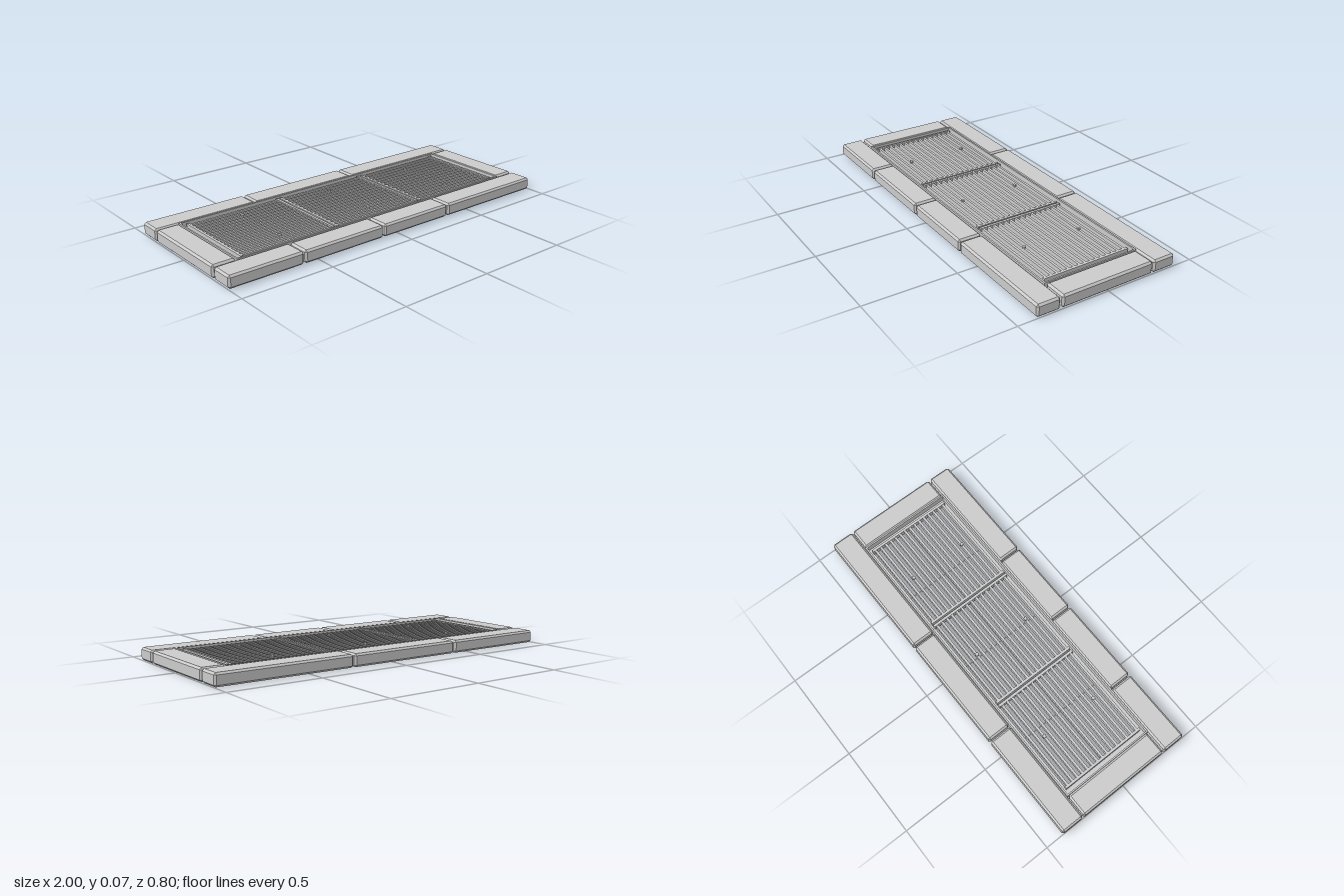
import * as THREE from 'three';
import { ConvexGeometry } from 'three/addons/geometries/ConvexGeometry.js';

const material = new THREE.MeshStandardMaterial({ color: 0xcccccc, flatShading: true });

function add(parent, name, geometry, x = 0, y = 0, z = 0) {
  const mesh = new THREE.Mesh(geometry, material);
  mesh.name = name;
  mesh.position.set(x, y, z);
  parent.add(mesh);
  return mesh;
}

// Box given by its limits on each axis
function bar(parent, name, [x0, x1], [y0, y1], [z0, z1]) {
  return add(parent, name, new THREE.BoxGeometry(x1 - x0, y1 - y0, z1 - z0),
    (x0 + x1) / 2, (y0 + y1) / 2, (z0 + z1) / 2);
}

// Block with every edge chamfered
function stone(parent, name, [x0, x1], height, [z0, z1], c = 0.01) {
  const h = [(x1 - x0) / 2, height / 2, (z1 - z0) / 2];
  const points = [];
  for (const sx of [-1, 1]) for (const sy of [-1, 1]) for (const sz of [-1, 1])
    for (let axis = 0; axis < 3; axis++) {
      const inset = [c, c, c];
      inset[axis] = 0;
      points.push(new THREE.Vector3(sx * (h[0] - inset[0]), sy * (h[1] - inset[1]), sz * (h[2] - inset[2])));
    }
  return add(parent, name, new ConvexGeometry(points), (x0 + x1) / 2, height / 2, (z0 + z1) / 2);
}

export function createModel() {
  const model = new THREE.Group();
  model.name = 'drainGrate';

  // Stone kerb
  const kerb = new THREE.Group();
  kerb.name = 'stoneKerb';
  model.add(kerb);
  const gap = 0.004;
  const row = (name, joints, z) => {
    for (let i = 0; i < joints.length - 1; i++) {
      const x0 = joints[i] + (i > 0 ? gap : 0);
      const x1 = joints[i + 1] - (i < joints.length - 2 ? gap : 0);
      stone(kerb, name, [x0, x1], 0.067, z);
    }
  };
  row('frontStone', [-1, -0.583, -0.092, 0.35, 1], [0.27, 0.398]);
  row('backStone', [-1, -0.41, 0.242, 1], [-0.398, -0.27]);
  stone(kerb, 'rightStone', [-1, -0.873], 0.068, [-0.264, 0.26]);
  stone(kerb, 'leftStone', [0.873, 1], 0.068, [-0.264, 0.26]);

  // Angle-iron frame: upright walls with an inward ledge
  const frame = new THREE.Group();
  frame.name = 'frame';
  model.add(frame);
  for (const s of [-1, 1]) {
    const span = (a, b) => (s > 0 ? [a, b] : [-b, -a]);
    bar(frame, 'longWall', [-0.873, 0.873], [0.02, 0.068], span(0.26, 0.269));
    bar(frame, 'longLedge', [-0.865, 0.865], [0.02, 0.029], span(0.242, 0.26));
    bar(frame, 'endWall', span(0.865, 0.873), [0.02, 0.068], [-0.26, 0.26]);
    bar(frame, 'endLedge', span(0.832, 0.865), [0.02, 0.029], [-0.242, 0.242]);
    // Cross beam under each panel joint
    bar(frame, 'crossBeam', span(0.268, 0.296), [0.012, 0.03], [-0.26, 0.26]);
  }

  // Three slatted panels
  const slats = 15, pitch = 0.0328;
  const [low, high] = [0.03, 0.062];
  for (const cx of [-0.563, 0, 0.563]) {
    const panel = new THREE.Group();
    panel.name = 'gratePanel';
    panel.position.x = cx;
    model.add(panel);
    for (const s of [-1, 1])
      bar(panel, 'endBar', [s * 0.27 - 0.007, s * 0.27 + 0.007], [low, high + 0.002], [-0.246, 0.246]);
    for (let i = 0; i < slats; i++) {
      const z = (i - (slats - 1) / 2) * pitch;
      bar(panel, 'slat', [-0.265, 0.265], [low, high], [z - 0.0065, z + 0.0065]);
    }
    // Bolts through the slats
    for (const s of [-1, 1])
      add(panel, 'bolt', new THREE.CylinderGeometry(0.01, 0.01, 0.012, 8), 0, 0.064, s * pitch * 5);
  }
  return model;
}
